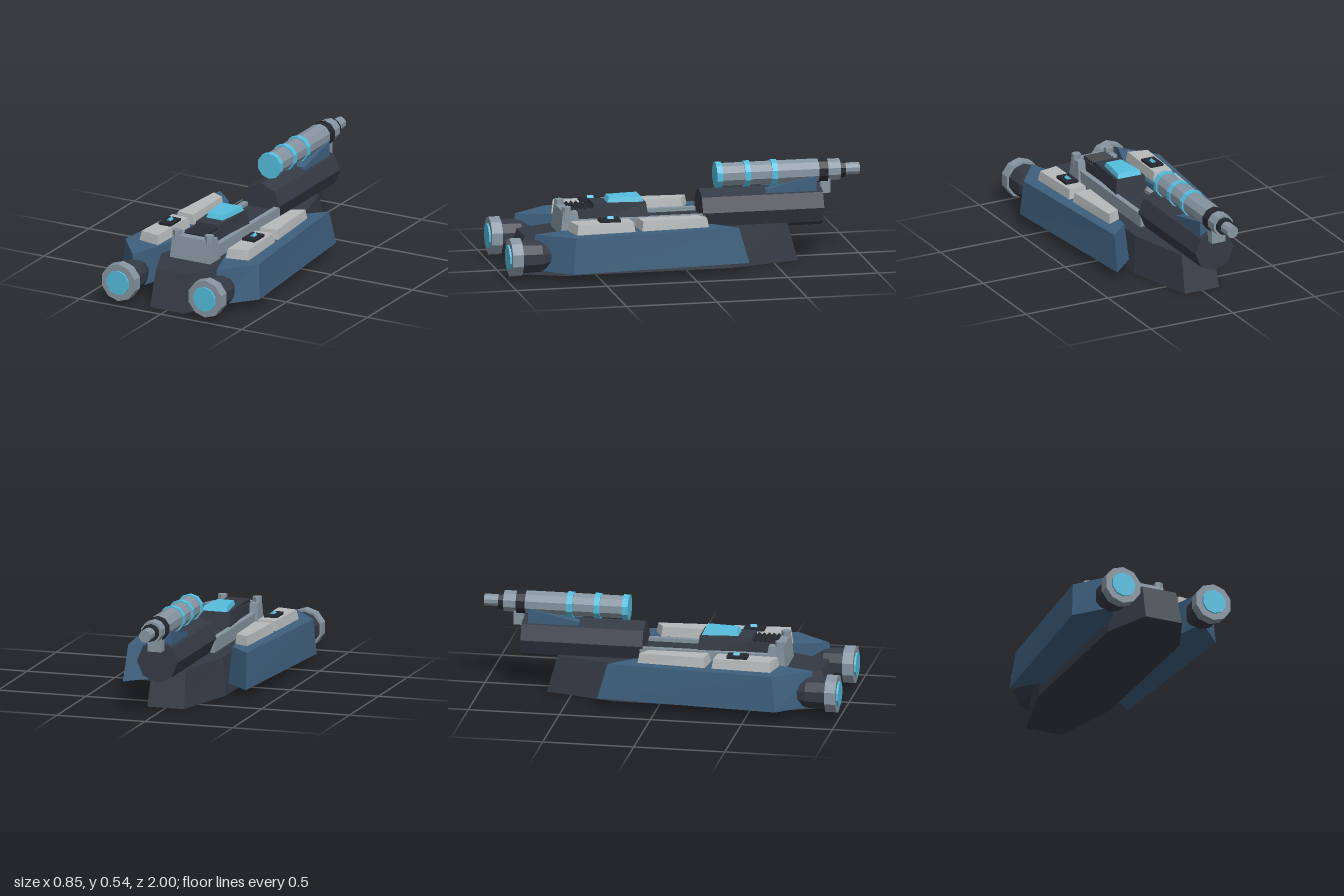
import * as THREE from 'three';

const mat = (color) => new THREE.MeshStandardMaterial({ color, flatShading: true });
const M = {
  dark: mat(0x343a45), black: mat(0x24282f), blue: mat(0x3e607e),
  grey: mat(0x8795a1), plate: mat(0xb6baba), glow: mat(0x55bfe0),
};

// Solid between two convex outlines of [x, z] points
function prism(low, high, y0, y1) {
  let area = 0;
  const n = low.length;
  for (let i = 0; i < n; i++) {
    const a = low[i], b = low[(i + 1) % n];
    area += a[1] * b[0] - a[0] * b[1];
  }
  if (area < 0) { low = [...low].reverse(); high = [...high].reverse(); }
  const v = [];
  const B = (i) => [low[i % n][0], y0, low[i % n][1]];
  const T = (i) => [high[i % n][0], y1, high[i % n][1]];
  for (let i = 0; i < n; i++) {
    v.push(...B(i), ...B(i + 1), ...T(i + 1), ...B(i), ...T(i + 1), ...T(i));
    if (i > 0 && i < n - 1) v.push(...T(0), ...T(i), ...T(i + 1), ...B(0), ...B(i + 1), ...B(i));
  }
  const g = new THREE.BufferGeometry();
  g.setAttribute('position', new THREE.Float32BufferAttribute(v, 3));
  g.computeVertexNormals();
  return g;
}

// Outline symmetric about x = 0 from its +x half
const sym = (half) => [...half, ...half.map(([x, z]) => [-x, z]).reverse()];

export function createModel() {
  const root = new THREE.Group();
  const add = (name, geo, m, x = 0, y = 0, z = 0, parent = root) => {
    const mesh = new THREE.Mesh(geo, m);
    mesh.name = name;
    mesh.position.set(x, y, z);
    parent.add(mesh);
    return mesh;
  };
  const box = (name, m, x0, x1, y0, y1, z0, z1, parent = root) =>
    add(name, new THREE.BoxGeometry(x1 - x0, y1 - y0, z1 - z0), m,
      (x0 + x1) / 2, (y0 + y1) / 2, (z0 + z1) / 2, parent);
  // Faceted cylinder lying along z; rf at z1, rb at z0
  const tube = (name, m, x, y, z0, z1, rb, rf = rb, sides = 10, parent = root) =>
    add(name, new THREE.CylinderGeometry(rf, rb, z1 - z0, sides).rotateX(Math.PI / 2), m,
      x, y, (z0 + z1) / 2, parent);

  // Hull
  add('hull', prism(
    sym([[0.107, 0.93], [0.213, 0.67], [0.213, -0.25], [0.105, -0.64]]),
    sym([[0.1, 0.87], [0.19, 0.65], [0.19, -0.23], [0.095, -0.585]]), 0, 0.205), M.dark);

  // Deck spine, rails and rear housing
  box('deckSpine', M.dark, -0.08, 0.08, 0.2, 0.26, -0.13, 0.62);
  add('rearHousing', prism(sym([[0.125, 0.675], [0.125, 0.56]]),
    sym([[0.118, 0.66], [0.118, 0.58]]), 0.205, 0.33), M.grey);
  for (const s of [-1, 1]) {
    box('deckRail', M.grey, s * 0.095 - 0.015, s * 0.095 + 0.015, 0.2, 0.28, -0.13, 0.6);
    add('cornerPost', new THREE.CylinderGeometry(0.026, 0.026, 0.12, 6), M.grey, s * 0.099, 0.297, 0.638);
  }

  // Cockpit, canopy and vent slats
  box('ventHousing', M.dark, -0.075, 0.075, 0.25, 0.332, 0.44, 0.61);
  add('cockpit', prism(sym([[0.075, 0.49], [0.098, 0.18]]),
    sym([[0.07, 0.48], [0.085, 0.195]]), 0.25, 0.358), M.dark);
  add('canopy', prism(sym([[0.052, 0.402], [0.072, 0.203]]),
    sym([[0.046, 0.39], [0.064, 0.215]]), 0.357, 0.384), M.glow);
  for (let i = 0; i < 5; i++) {
    add('ventSlat', new THREE.BoxGeometry(0.13, 0.018, 0.018).rotateX(Math.PI / 4),
      M.black, 0, 0.338, 0.497 + i * 0.027);
  }

  // Side pods with armour and engines
  for (const s of [-1, 1]) {
    const pod = new THREE.Group();
    pod.name = s > 0 ? 'leftPod' : 'rightPod';
    root.add(pod);
    const side = (pts) => pts.map(([x, z]) => [s * x, z]);
    add('podBody', prism(
      side([[0.35, -0.32], [0.205, -0.18], [0.155, 0.53], [0.26, 0.865], [0.427, 0.67]]),
      side([[0.337, -0.265], [0.215, -0.145], [0.158, 0.53], [0.26, 0.845], [0.413, 0.65]]),
      0.055, 0.25), M.blue, 0, 0, 0, pod);
    const armour = (name, pts) => {
      const cx = pts.reduce((a, p) => a + p[0], 0) / 4, cz = pts.reduce((a, p) => a + p[1], 0) / 4;
      const top = pts.map(([x, z]) => [cx + (x - cx) * 0.86, cz + (z - cz) * 0.95]);
      add(name, prism(side(pts), side(top), 0.249, 0.303), M.plate, 0, 0, 0, pod);
    };
    armour('frontArmour', [[0.288, -0.11], [0.207, -0.07], [0.2, 0.278], [0.316, 0.265]]);
    armour('rearArmour', [[0.318, 0.302], [0.2, 0.312], [0.21, 0.655], [0.338, 0.628]]);
    box('sensorBase', M.black, s * 0.259 - 0.038, s * 0.259 + 0.038, 0.3, 0.317, 0.38, 0.492, pod);
    add('sensorLight', new THREE.BoxGeometry(0.018, 0.018, 0.035).rotateZ(Math.PI / 4),
      M.glow, s * 0.259, 0.318, 0.43, pod);

    // Engine
    const ex = s * 0.268, ey = 0.131;
    tube('engineTaper', M.dark, ex, ey, 0.75, 0.82, 0.055, 0.088, 10, pod);
    tube('engineBody', M.dark, ex, ey, 0.82, 0.935, 0.088, 0.092, 10, pod);
    tube('engineRing', M.grey, ex, ey, 0.93, 0.99, 0.106, 0.106, 10, pod);
    tube('engineGlow', M.glow, ex, ey, 0.98, 1.0, 0.069, 0.069, 10, pod);
  }

  // Cannon base and mount
  tube('cannonBase', M.dark, 0, 0.285, -0.785, -0.115, 0.115, 0.115, 8);
  const wedge = new THREE.Shape([[0.47, 0.37], [0.75, 0.37], [0.75, 0.452], [0.47, 0.39]]
    .map(([x, y]) => new THREE.Vector2(x, y)));
  add('cannonMount', new THREE.ExtrudeGeometry(wedge, { depth: 0.14, bevelEnabled: false })
    .rotateY(Math.PI / 2), M.blue, -0.07, 0, 0);
  box('cannonCradle', M.grey, -0.04, 0.04, 0.35, 0.45, -0.835, -0.78);

  // Cannon
  const gy = 0.47;
  tube('cannonBarrel', M.grey, 0, gy, -0.775, -0.21, 0.065);
  for (const z of [-0.22, -0.375, -0.525]) tube('energyRing', M.glow, 0, gy, z - 0.016, z + 0.016, 0.073);
  tube('darkCollar', M.black, 0, gy, -0.82, -0.77, 0.067);
  tube('muzzleSleeve', M.grey, 0, gy, -0.89, -0.82, 0.06);
  tube('muzzleCollar', M.black, 0, gy, -0.92, -0.89, 0.047);
  tube('muzzle', M.grey, 0, gy, -1.0, -0.92, 0.034);

  return root;
}
